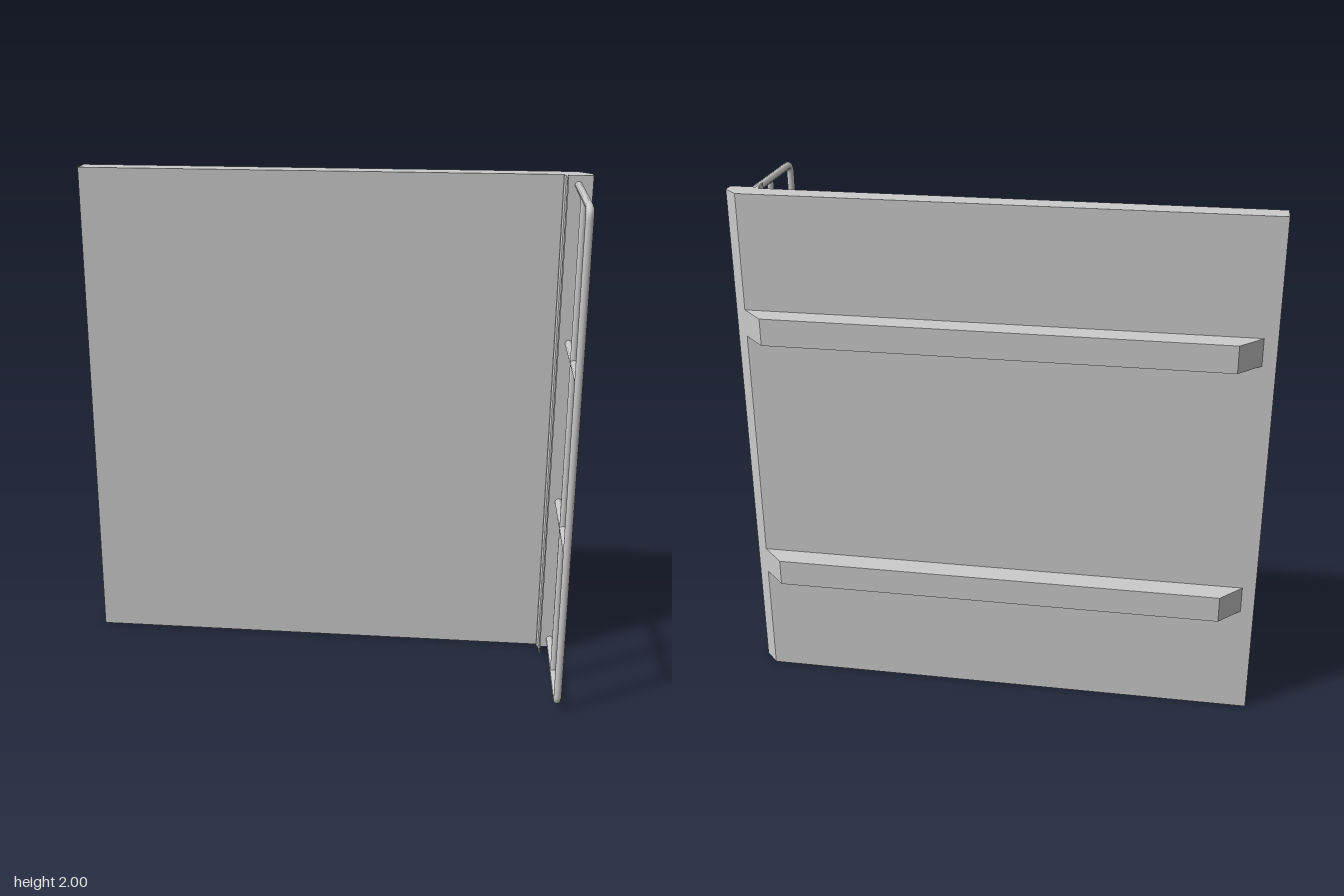
import * as THREE from 'three';

const material = new THREE.MeshStandardMaterial({ color: 0xcccccc, side: THREE.DoubleSide });

function addMesh(group, name, geometry) {
  const mesh = new THREE.Mesh(geometry, material);
  mesh.name = name;
  group.add(mesh);
  return mesh;
}

// Upright prism from an [x, z] outline, spanning y0 to y1
function prism(outline, y0, y1) {
  const shape = new THREE.Shape(outline.map(([x, z]) => new THREE.Vector2(x, -z)));
  const geometry = new THREE.ExtrudeGeometry(shape, { depth: y1 - y0, bevelEnabled: false });
  geometry.rotateX(-Math.PI / 2);
  geometry.translate(0, y0, 0);
  return geometry;
}

export function createModel() {
  const group = new THREE.Group();
  const railX = 0.945, wallZ = -0.172;

  // Door leaf with a thicker, bevelled closing edge
  addMesh(group, 'doorPanel', prism([
    [-1, -0.19], [0.9, -0.19], [0.9, wallZ], [1, wallZ],
    [1, -0.22], [0.947, -0.276], [-1, -0.276],
  ], 0, 2));

  // Tapered lip beside the closing edge
  addMesh(group, 'sealLip', prism([
    [0.89, -0.19], [0.89, -0.178], [0.896, -0.16], [0.898, -0.109],
    [0.903, -0.109], [0.903, -0.19],
  ], 0, 2));

  // Bevelled battens across the back
  for (const y of [0.493, 1.51]) {
    addMesh(group, 'backBatten', prism([
      [-0.95, -0.276], [0.947, -0.276], [0.862, -0.364], [-0.865, -0.364],
    ], y - 0.052, y + 0.052));
  }

  // Outer guard rail: one bent rod with rounded corners
  const low = 0.037, high = 1.963, outZ = 0.347, bend = 0.035;
  const p = (y, z) => new THREE.Vector3(railX, y, z);
  const path = new THREE.CurvePath();
  path.add(new THREE.LineCurve3(p(low, wallZ), p(low, outZ - bend)));
  path.add(new THREE.QuadraticBezierCurve3(p(low, outZ - bend), p(low, outZ), p(low + bend, outZ)));
  path.add(new THREE.LineCurve3(p(low + bend, outZ), p(high - bend, outZ)));
  path.add(new THREE.QuadraticBezierCurve3(p(high - bend, outZ), p(high, outZ), p(high, outZ - bend)));
  path.add(new THREE.LineCurve3(p(high, outZ - bend), p(high, wallZ)));
  addMesh(group, 'guardFrame', new THREE.TubeGeometry(path, 300, 0.015, 8));

  // Inner bars of the guard
  for (const y of [0.67, 1.343]) {
    const bar = addMesh(group, 'guardCrossbar', new THREE.CylinderGeometry(0.0145, 0.0145, outZ - wallZ, 8));
    bar.rotation.x = Math.PI / 2;
    bar.position.set(railX, y, (outZ + wallZ) / 2);
  }
  const upright = addMesh(group, 'guardUpright', new THREE.CylinderGeometry(0.0135, 0.0135, high - low, 8));
  upright.position.set(railX, (low + high) / 2, 0.102);

  return group;
}
